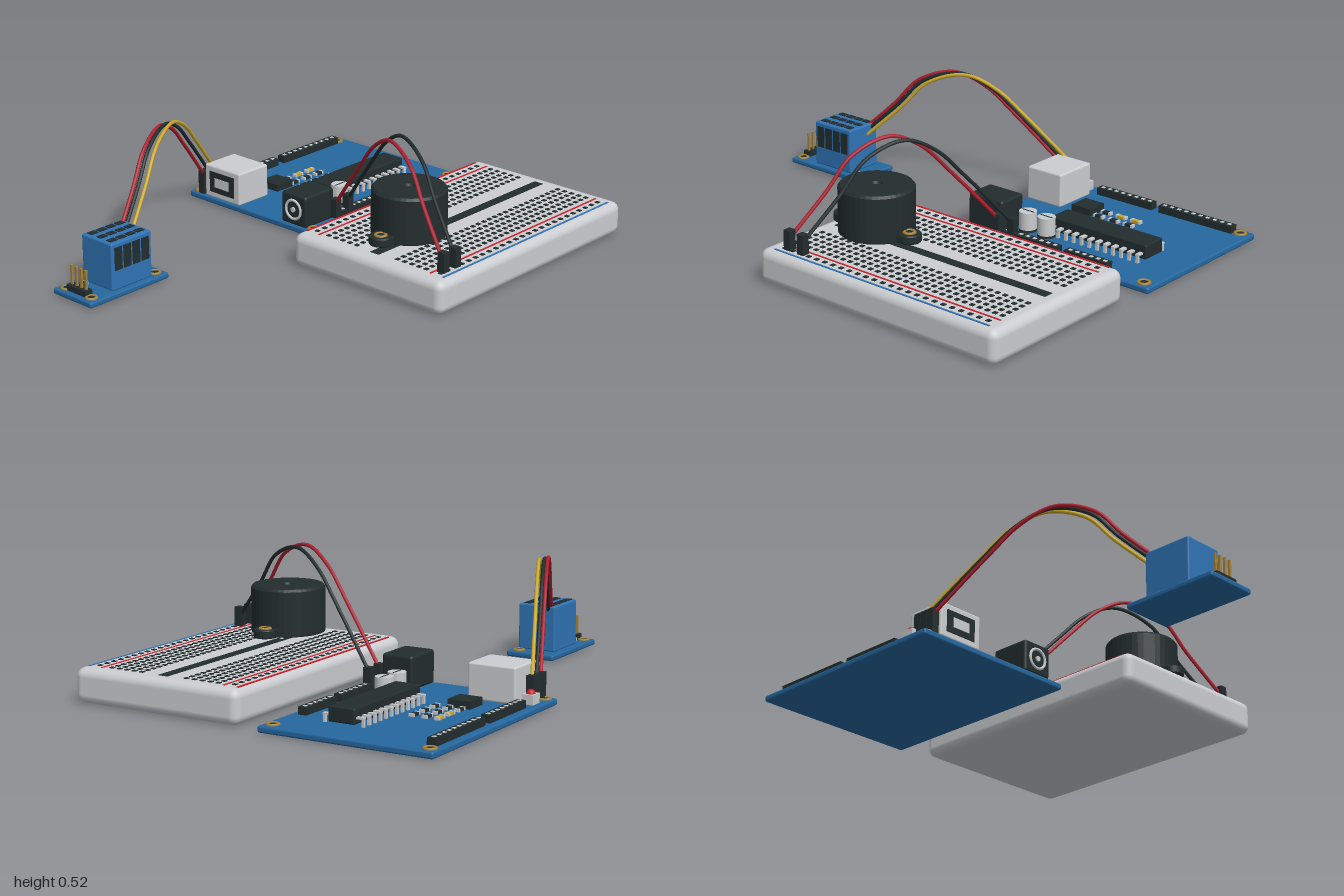
import * as THREE from 'three';
import { mergeGeometries } from 'three/addons/utils/BufferGeometryUtils.js';
import { RoundedBoxGeometry } from 'three/addons/geometries/RoundedBoxGeometry.js';

const mat = (name, color) => {
  const m = new THREE.MeshStandardMaterial({ color });
  m.name = name;
  return m;
};

export function createModel() {
  const root = new THREE.Group();
  root.name = 'electronicsKit';
  const board = mat('board blue', 0x25679f), blue = mat('housing blue', 0x2f74b5);
  const plastic = mat('light plastic', 0xcbcdd0), black = mat('black', 0x232d2e);
  const silver = mat('silver', 0xc9ccce), brass = mat('brass', 0xa5823c);
  const red = mat('red', 0xd0202a), yellow = mat('yellow', 0xcdaa28), wireRed = mat('wire red', 0xb02030);

  const group = (name, parent = root) => {
    const g = new THREE.Group();
    g.name = name;
    parent.add(g);
    return g;
  };
  const add = (parent, name, geo, m) => {
    const mesh = new THREE.Mesh(geo, m);
    mesh.name = name;
    parent.add(mesh);
    return mesh;
  };
  // Boxes are given by their limits on each axis
  const boxGeo = (x0, x1, y0, y1, z0, z1, r = 0) => {
    const s = [x1 - x0, y1 - y0, z1 - z0];
    const g = r ? new RoundedBoxGeometry(...s, 3, r) : new THREE.BoxGeometry(...s);
    return g.translate((x0 + x1) / 2, (y0 + y1) / 2, (z0 + z1) / 2);
  };
  const box = (parent, name, m, ...limits) => add(parent, name, boxGeo(...limits), m);
  // Merges small boxes [x, y, z] of one size, y being the base
  const dots = (parent, name, m, points, w, h, d) => add(parent, name,
    mergeGeometries(points.map(([x, y, z]) => boxGeo(x - w / 2, x + w / 2, y, y + h, z - d / 2, z + d / 2))), m);
  const cyl = (parent, name, m, r, y0, y1, x, z) =>
    add(parent, name, new THREE.CylinderGeometry(r, r, y1 - y0, 24).translate(x, (y0 + y1) / 2, z), m);
  const row = (n, a, b) => Array.from({ length: n }, (_, i) => a + (b - a) * i / (n - 1));
  // Mounting hole with a brass rim
  const mount = (parent, x, y, z, r) => {
    const rim = add(parent, 'mountRim', new THREE.TorusGeometry(r * 0.8, r * 0.28, 8, 20), brass);
    rim.rotation.x = Math.PI / 2;
    rim.position.set(x, y, z);
    cyl(parent, 'mountHole', black, r * 0.65, y, y + 0.003, x, z);
  };

  // Breadboard
  const bread = group('breadboard');
  box(bread, 'breadboardBody', plastic, -0.18, 0.97, 0, 0.137, 0.04, 0.785, 0.035);
  box(bread, 'centreGroove', black, -0.12, 0.91, 0.134, 0.139, 0.39, 0.432);
  for (const [z, m] of [[0.068, red], [0.13, red], [0.69, red], [0.75, blue]])
    box(bread, 'railLine', m, -0.125, 0.92, 0.134, 0.139, z - 0.004, z + 0.004);
  const holes = [];
  for (const z of [...row(5, 0.165, 0.31), ...row(5, 0.515, 0.655)])
    for (const x of row(30, -0.105, 0.9)) holes.push([x, 0.133, z]);
  for (const z of [0.1, 0.72])
    for (const x of row(25, -0.1, 0.89)) holes.push([x, 0.133, z]);
  dots(bread, 'contactHoles', black, holes, 0.017, 0.007, 0.017);

  // Buzzer
  const buzzer = group('buzzer');
  buzzer.position.set(0.082, 0, 0.41);
  const profile = [[0, 0.165], [0.145, 0.165], [0.148, 0.168], [0.148, 0.345], [0.14, 0.355], [0.025, 0.355],
    [0.02, 0.345], [0, 0.345]];
  const body = new THREE.LatheGeometry(profile.map(p => new THREE.Vector2(...p)), 40).toNonIndexed();
  body.computeVertexNormals();
  add(buzzer, 'buzzerBody', body, black);
  const ear = new THREE.Shape();
  ear.moveTo(-0.165, -0.043);
  ear.lineTo(0.165, -0.043);
  ear.absarc(0.165, 0, 0.043, -Math.PI / 2, Math.PI / 2);
  ear.lineTo(-0.165, 0.043);
  ear.absarc(-0.165, 0, 0.043, Math.PI / 2, Math.PI * 1.5);
  const earGeo = new THREE.ExtrudeGeometry(ear, { depth: 0.026, bevelThickness: 0.004, bevelSize: 0.003, bevelSegments: 1 });
  add(buzzer, 'mountingEars', earGeo.rotateX(-Math.PI / 2).translate(0, 0.17, 0), black);
  for (const s of [-1, 1]) {
    mount(buzzer, s * 0.165, 0.2, 0, 0.025);
    cyl(buzzer, 'buzzerPin', silver, 0.008, 0.13, 0.17, s * 0.05, 0);
  }

  // Controller board
  const ctrl = group('controllerBoard');
  box(ctrl, 'controllerPlate', board, 0.07, 1, 0.004, 0.03, -0.79, -0.07, 0.008);
  for (const x of [0.105, 0.955]) for (const z of [-0.753, -0.108]) mount(ctrl, x, 0.03, z, 0.026);
  for (const [n, x0, x1, z] of [[8, 0.27, 0.545, -0.743], [10, 0.58, 0.93, -0.743], [8, 0.27, 0.545, -0.12], [6, 0.58, 0.785, -0.12]]) {
    box(ctrl, 'pinHeader', black, x0, x1, 0.029, 0.06, z - 0.018, z + 0.018);
    dots(ctrl, 'headerContacts', silver, row(n, x0 + 0.02, x1 - 0.02).map(x => [x, 0.057, z]), 0.015, 0.005, 0.014);
  }
  // Data socket and power jack, both opening toward -x
  box(ctrl, 'dataSocket', plastic, 0.078, 0.25, 0.029, 0.17, -0.705, -0.505, 0.008);
  box(ctrl, 'dataSocketOpening', black, 0.075, 0.08, 0.055, 0.145, -0.675, -0.535);
  box(ctrl, 'dataSocketTongue', plastic, 0.072, 0.08, 0.08, 0.12, -0.645, -0.565);
  box(ctrl, 'powerJack', black, 0.078, 0.25, 0.029, 0.163, -0.265, -0.13, 0.012);
  const jackRing = add(ctrl, 'jackRing', new THREE.TorusGeometry(0.04, 0.006, 8, 24), silver);
  jackRing.rotation.y = Math.PI / 2;
  jackRing.position.set(0.078, 0.097, -0.197);
  const jackPin = add(ctrl, 'jackPin', new THREE.CylinderGeometry(0.011, 0.011, 0.008, 16), silver);
  jackPin.rotation.z = Math.PI / 2;
  jackPin.position.set(0.076, 0.097, -0.197);
  // Capacitors
  for (const x of [0.302, 0.395]) {
    cyl(ctrl, 'capacitorBase', black, 0.036, 0.029, 0.04, x, -0.23);
    cyl(ctrl, 'capacitor', silver, 0.036, 0.04, 0.112, x, -0.23);
    box(ctrl, 'capacitorVent', black, x - 0.03, x + 0.03, 0.11, 0.114, -0.232, -0.228);
  }
  // Processor with two rows of legs
  box(ctrl, 'processor', black, 0.382, 0.845, 0.038, 0.097, -0.38, -0.27, 0.006);
  const legX = row(12, 0.405, 0.825);
  for (const s of [-1, 1]) {
    dots(ctrl, 'processorLegTops', silver, legX.map(x => [x, 0.058, -0.325 + s * 0.066]), 0.016, 0.008, 0.04);
    dots(ctrl, 'processorLegs', silver, legX.map(x => [x, 0.028, -0.325 + s * 0.081]), 0.012, 0.036, 0.01);
  }
  box(ctrl, 'interfaceChip', black, 0.307, 0.4, 0.029, 0.06, -0.6, -0.505);
  // Small surface parts: a body with two metal ends
  const smd = (parent, x, y, z, m) => {
    dots(parent, 'surfacePart', m, [[x, y, z]], 0.03, 0.012, 0.02);
    dots(parent, 'surfacePartEnds', silver, [[x - 0.019, y, z], [x + 0.019, y, z]], 0.009, 0.013, 0.021);
  };
  [-0.575, -0.524, -0.47].forEach((z, r) => [0.433, 0.507, 0.58].forEach((x, c) =>
    smd(ctrl, x, 0.029, z, r === 0 && c > 0 ? yellow : black)));
  // Indicator light
  box(ctrl, 'lightBase', silver, 0.168, 0.222, 0.029, 0.068, -0.765, -0.72);
  add(ctrl, 'lightDome', new THREE.SphereGeometry(0.018, 16, 8, 0, Math.PI * 2, 0, Math.PI / 2).translate(0.195, 0.067, -0.742), red);

  // Sensor module
  const sensor = group('sensorModule');
  box(sensor, 'sensorPlate', board, -1, -0.6, 0.004, 0.028, -0.43, -0.215, 0.008);
  mount(sensor, -0.963, 0.028, -0.392, 0.024);
  mount(sensor, -0.963, 0.028, -0.253, 0.024);
  mount(sensor, -0.637, 0.028, -0.255, 0.024);
  box(sensor, 'sensorHousing', blue, -0.872, -0.668, 0.027, 0.218, -0.402, -0.236, 0.007);
  const slotX = row(4, -0.838, -0.702);
  dots(sensor, 'frontSlots', black, slotX.map(x => [x, 0.108, -0.236]), 0.037, 0.092, 0.006);
  dots(sensor, 'topSlots', black, slotX.flatMap(x => [-0.375, -0.322, -0.267].map(z => [x, 0.215, z])), 0.036, 0.006, 0.026);
  box(sensor, 'sensorHeader', black, -0.978, -0.943, 0.027, 0.052, -0.375, -0.27);
  dots(sensor, 'sensorPins', brass, row(4, -0.362, -0.283).map(z => [-0.96, 0.05, z]), 0.009, 0.08, 0.009);
  smd(sensor, -0.91, 0.027, -0.365, black);

  // Jumper wires: an arch over a straight line on the ground plan
  const arch = [[0, 0], [0.17, 0.46], [0.29, 0.82], [0.47, 1], [0.62, 0.87], [0.76, 0.57], [1, 0]];
  const wires = group('jumperWires');
  const wire = (name, m, a, b, rise) => {
    const p = new THREE.Vector3(...a), q = new THREE.Vector3(...b);
    const points = arch.map(([t, f]) => p.clone().lerp(q, t).add(new THREE.Vector3(0, f * rise, 0)));
    add(wires, name, new THREE.TubeGeometry(new THREE.CatmullRomCurve3(points), 48, 0.0075, 8), m);
  };
  const plug = (x, y, z, h) => box(wires, 'wirePlug', black, x - 0.016, x + 0.016, y, y + h, z - 0.016, z + 0.016);
  [['powerWire', wireRed, -0.08, 0.243], ['groundWire', black, -0.012, 0.318]].forEach(([name, m, x0, x1]) => {
    wire(name, m, [x0, 0.185, 0.71], [x1, 0.1, -0.115], 0.372);
    plug(x0, 0.134, 0.715, 0.083);
    plug(x1, 0.04, -0.115, 0.08);
  });
  [['sensorPowerWire', wireRed, -0.72, -0.362, 0.095], ['sensorGroundWire', black, -0.7, -0.358, 0.13],
    ['sensorSignalWire', yellow, -0.67, -0.345, 0.165]].forEach(([name, m, x0, z0, x1]) => {
    wire(name, m, [x0, 0.175, z0], [x1, 0.11, -0.73], 0.335);
    plug(x1, 0.03, -0.73, 0.1);
  });
  return root;
}
